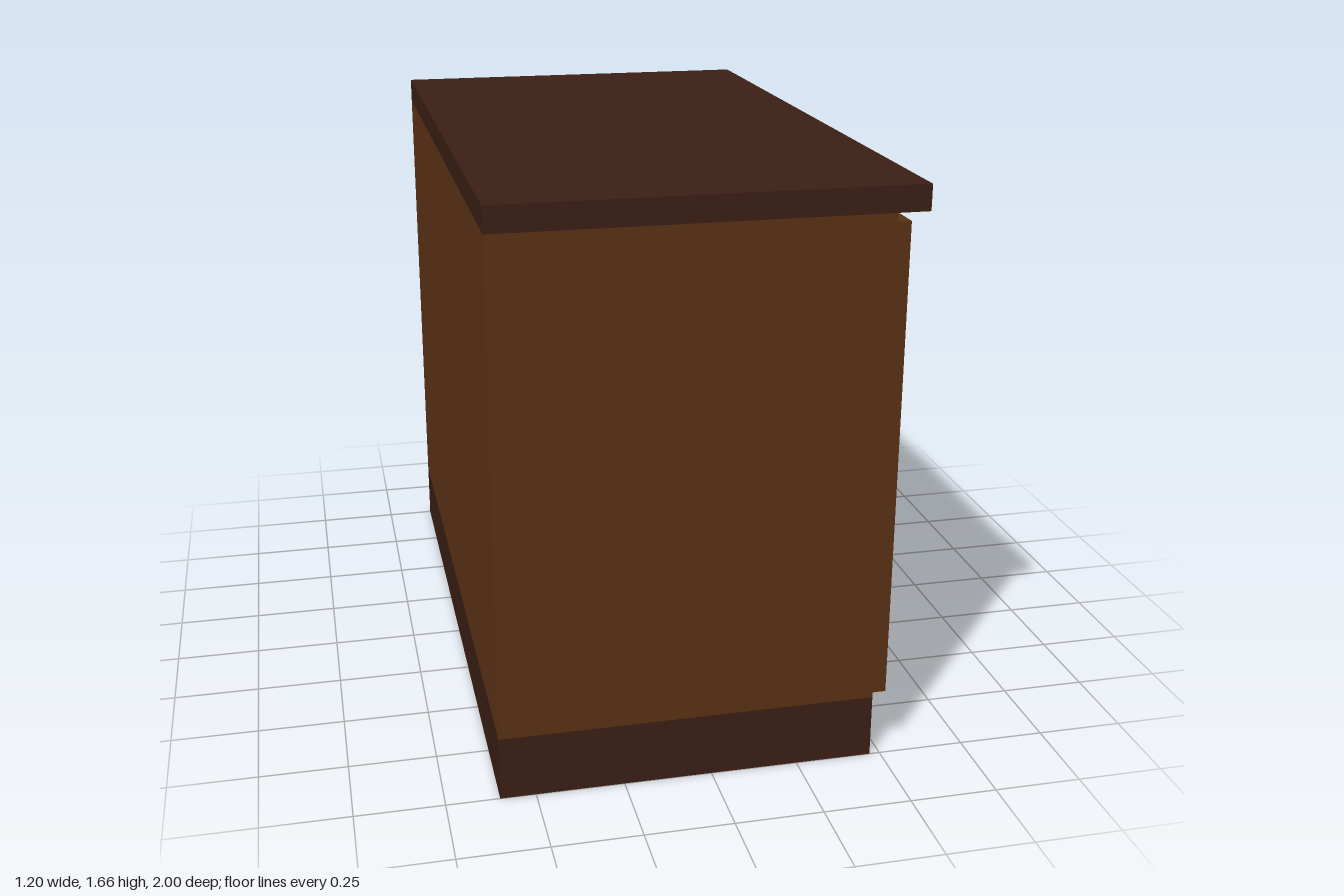
import * as THREE from 'three';

const wood = new THREE.MeshStandardMaterial({ color: 0x5c3317 });
const darkWood = new THREE.MeshStandardMaterial({ color: 0x3b1f14 });
const metal = new THREE.MeshStandardMaterial({ color: 0x4a4a4a });

// Box given by its limits on each axis
function box(name, material, [x0, x1], [y0, y1], [z0, z1]) {
  const mesh = new THREE.Mesh(new THREE.BoxGeometry(x1 - x0, y1 - y0, z1 - z0), material);
  mesh.name = name;
  mesh.position.set((x0 + x1) / 2, (y0 + y1) / 2, (z0 + z1) / 2);
  return mesh;
}

// Bar handle: upright rod on two standoff posts
function createHandle(z) {
  const handle = new THREE.Group();
  handle.name = 'handle';
  const bar = new THREE.Mesh(new THREE.CylinderGeometry(0.02, 0.02, 0.47, 24), metal);
  bar.name = 'handleBar';
  bar.position.set(0.58, 1.25, z);
  handle.add(bar);
  for (const y of [1.065, 1.44]) {
    const post = new THREE.Mesh(new THREE.CylinderGeometry(0.018, 0.018, 0.072, 24), metal);
    post.name = 'handlePost';
    post.rotation.z = Math.PI / 2;
    post.position.set(0.544, y, z);
    handle.add(post);
  }
  return handle;
}

export function createModel() {
  const cabinet = new THREE.Group();
  cabinet.name = 'cabinet';

  // Body between plinth and worktop
  cabinet.add(
    box('plinth', darkWood, [-0.6, 0.47], [0, 0.185], [-1, 1]),
    box('carcass', wood, [-0.6, 0.47], [0.185, 1.593], [-1, 1]),
    box('worktop', darkWood, [-0.6, 0.56], [1.593, 1.665], [-1, 1])
  );

  // Mirrored doors with a narrow gap, handles beside the gap
  for (const side of [-1, 1]) {
    const limits = [0.004 * side, 1 * side].sort((a, b) => a - b);
    cabinet.add(box('door', wood, [0.47, 0.508], [0.2, 1.57], limits));
    cabinet.add(createHandle(0.105 * side));
  }
  return cabinet;
}
